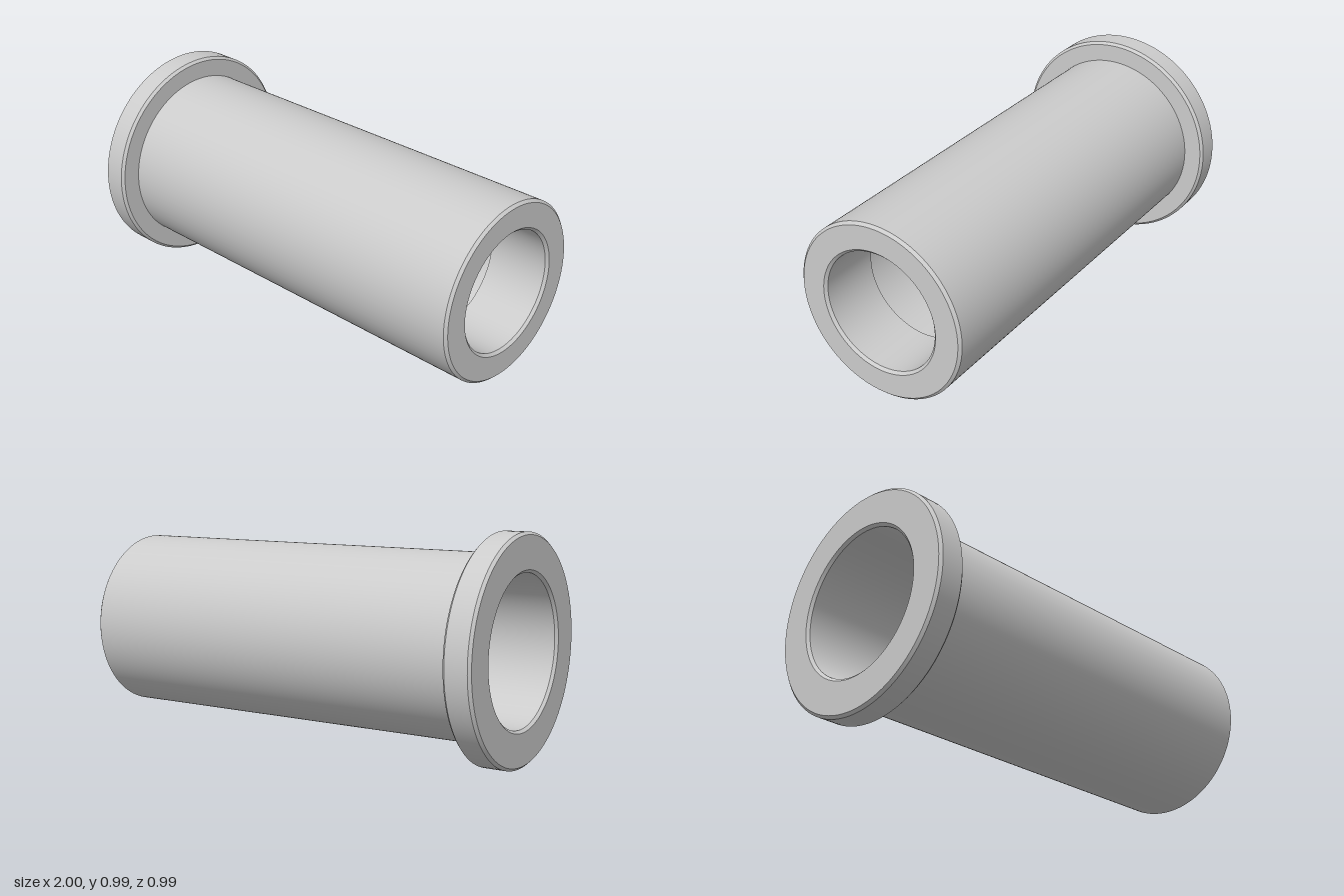
import * as THREE from 'three';
import { mergeGeometries } from 'three/addons/utils/BufferGeometryUtils.js';

const R = 0.496;  // flange radius, also the height of the axis
const C = 0.012;  // chamfer on all rims

// Closed profile as [radius, position along x]: up the outside, back down the bore
const profile = [
  [R - C, -1], [R, -1 + C], [R, -0.875 - C], [R - C, -0.875],  // flange
  [0.403, -0.875], [0.403, 1 - C], [0.403 - C, 1],             // sleeve
  [0.272 + C, 1], [0.272, 1 - C], [0.272, 0.71],               // narrow bore
  [0.328, 0.71], [0.328, -1 + C], [0.328 + C, -1],             // wide bore
];

// One lathe per profile segment keeps every edge sharp and every wall smooth
function turned(points) {
  const bands = points.map((a, i) => {
    const b = points[(i + 1) % points.length];
    return new THREE.LatheGeometry([new THREE.Vector2(...a), new THREE.Vector2(...b)], 128);
  });
  return mergeGeometries(bands).rotateZ(-Math.PI / 2);
}

export function createModel() {
  const group = new THREE.Group();
  group.name = 'flangedBushing';
  const body = new THREE.Mesh(turned(profile), new THREE.MeshStandardMaterial({ color: 0xcccccc }));
  body.name = 'flangedSleeve';
  body.position.y = R;
  group.add(body);
  return group;
}
